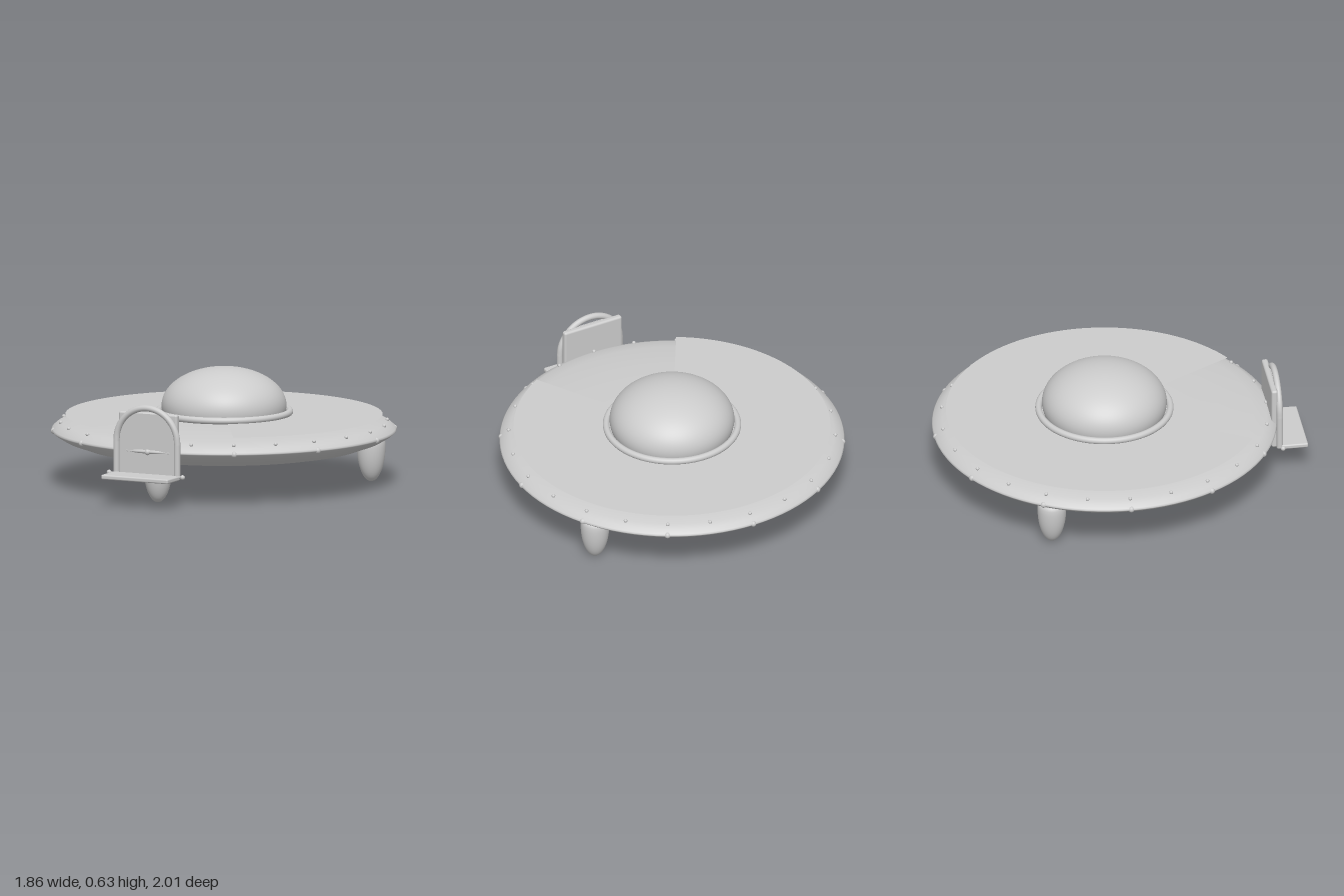
import * as THREE from 'three';
import { RoundedBoxGeometry } from 'three/addons/geometries/RoundedBoxGeometry.js';

const CZ = -0.075; // saucer centre on z

export function createModel() {
  const model = new THREE.Group();
  const metal = new THREE.MeshStandardMaterial({ color: 0xcccccc, side: THREE.DoubleSide });
  metal.name = 'light grey metal';

  const add = (name, geometry, x = 0, y = 0, z = 0, parent = model) => {
    const mesh = new THREE.Mesh(geometry, metal);
    mesh.name = name;
    mesh.position.set(x, y, z);
    parent.add(mesh);
    return mesh;
  };
  const lathe = (points, segments) =>
    new THREE.LatheGeometry(points.map(([r, y]) => new THREE.Vector2(r, y)), segments);

  // Saucer hull with a round recess underneath
  add('hull', lathe([
    [0, 0.218], [0.28, 0.218], [0.31, 0.213], [0.325, 0.2], [0.335, 0.191], [0.36, 0.189],
    [0.55, 0.19], [0.68, 0.192], [0.76, 0.207], [0.86, 0.243], [0.905, 0.27], [0.922, 0.284],
    [0.925, 0.29], [0.92, 0.298], [0.9, 0.315], [0.87, 0.332], [0.8, 0.344], [0.62, 0.363],
    [0.4, 0.366], [0, 0.367],
  ], 96), 0, 0, CZ);

  // Thin top plate, open over the entrance
  const plate = new THREE.RingGeometry(0.3, 0.85, 100, 1, -Math.PI / 3, Math.PI * 5 / 3);
  plate.rotateX(-Math.PI / 2);
  add('topPlate', plate, 0, 0.372, CZ);

  // Dome and its collar
  const dome = new THREE.SphereGeometry(1, 64, 40);
  dome.scale(0.335, 0.207, 0.335);
  add('dome', dome, 0, 0.419, CZ);
  const collar = new THREE.TorusGeometry(0.353, 0.018, 16, 80);
  collar.rotateX(Math.PI / 2);
  add('domeCollar', collar, 0, 0.386, CZ);

  // Rivets: small ones above the rim, larger ones on it
  const rivetRow = (name, count, radius, y, size) => {
    const geometry = new THREE.SphereGeometry(size, 12, 8);
    for (let i = 0; i < count; i++) {
      const a = (i / count) * Math.PI * 2;
      add(name, geometry, Math.sin(a) * radius, y, CZ + Math.cos(a) * radius);
    }
  };
  rivetRow('smallRivet', 24, 0.876, 0.333, 0.01);
  rivetRow('rimRivet', 12, 0.913, 0.288, 0.017);

  // Three rounded landing legs
  const legProfile = [];
  for (let i = 0; i <= 14; i++) {
    const a = (i / 14) * Math.PI / 2;
    legProfile.push([0.077 * Math.sin(a), 0.19 - 0.19 * Math.cos(a)]);
  }
  legProfile.push([0.076, 0.215], [0.07, 0.232], [0.06, 0.237], [0, 0.237]);
  const leg = lathe(legProfile, 32);
  for (let i = 0; i < 3; i++) {
    const a = (i / 3) * Math.PI * 2;
    add('landingLeg', leg, Math.sin(a) * 0.79, 0, CZ + Math.cos(a) * 0.79);
  }

  // Entrance: door panel, arched frame, ramp and hinge
  const entrance = new THREE.Group();
  entrance.name = 'entrance';
  model.add(entrance);

  add('doorPanel', new RoundedBoxGeometry(0.35, 0.35, 0.034, 3, 0.012), 0, 0.325, 0.822, entrance);
  add('doorInset', new THREE.BoxGeometry(0.24, 0.33, 0.008), 0, 0.33, 0.838, entrance);

  const arch = new THREE.CurvePath();
  const v = (x, y) => new THREE.Vector3(x, y, 0);
  const bend = [];
  for (let i = 0; i <= 16; i++) {
    const a = Math.PI * (1 - i / 16);
    bend.push(v(Math.cos(a) * 0.182, 0.345 + Math.sin(a) * 0.182));
  }
  arch.add(new THREE.LineCurve3(v(-0.182, 0.155), v(-0.182, 0.345)));
  arch.add(new THREE.CatmullRomCurve3(bend));
  arch.add(new THREE.LineCurve3(v(0.182, 0.345), v(0.182, 0.155)));
  add('doorFrame', new THREE.TubeGeometry(arch, 90, 0.017, 12), 0, 0, 0.848, entrance);

  add('ramp', new RoundedBoxGeometry(0.4, 0.025, 0.15, 3, 0.008), 0, 0.161, 0.925, entrance);

  const rod = new THREE.CylinderGeometry(0.005, 0.005, 0.44, 10);
  rod.rotateZ(Math.PI / 2);
  add('hingeRod', rod, 0, 0.168, 0.86, entrance);
  for (const side of [-1, 1]) {
    add('hingeKnob', new THREE.SphereGeometry(0.013, 14, 10), side * 0.22, 0.168, 0.86, entrance);
  }

  return model;
}
